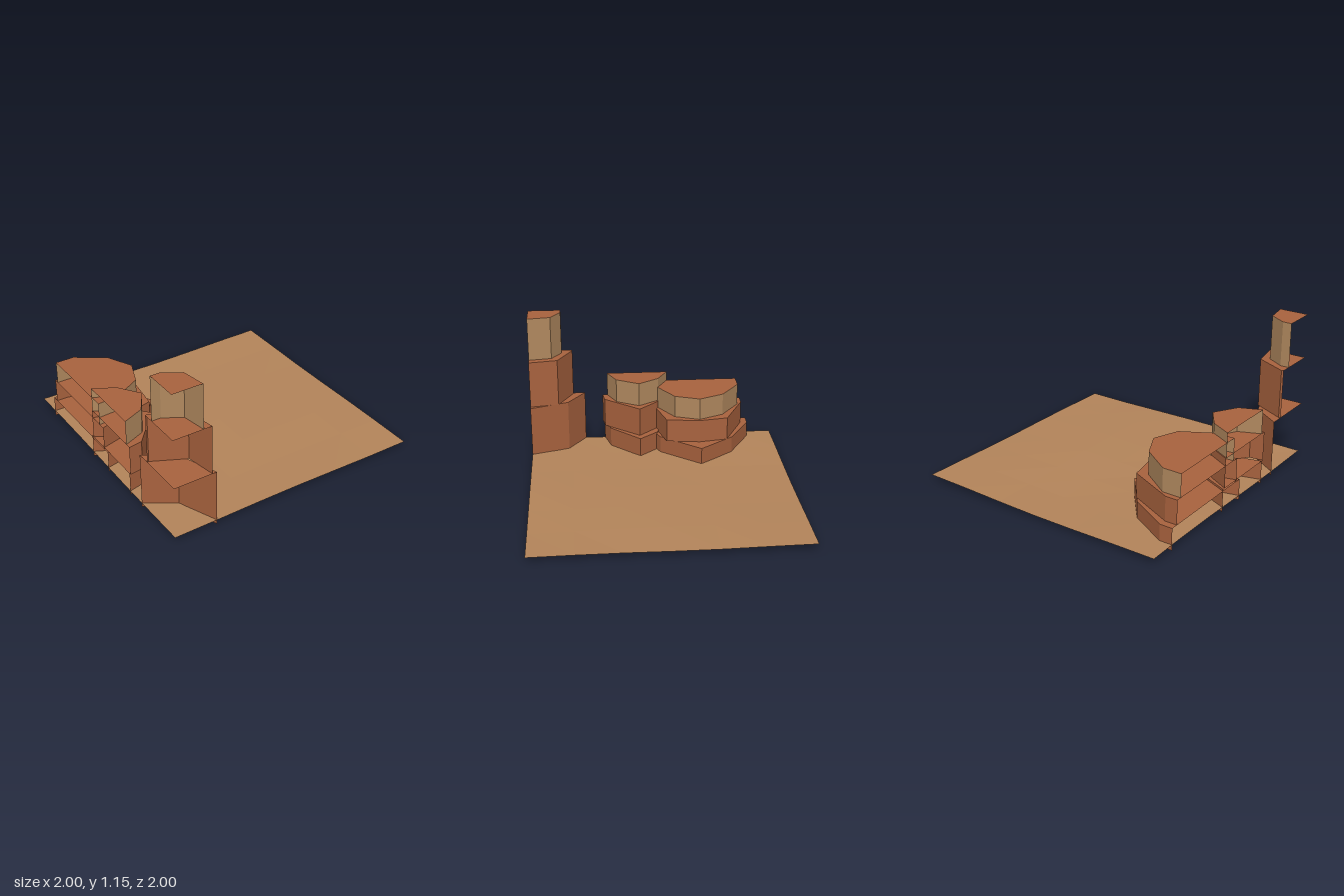
import * as THREE from 'three';

const mat = (name, color) => {
  const m = new THREE.MeshStandardMaterial({ color, side: THREE.DoubleSide, flatShading: true });
  m.name = name;
  return m;
};

// Each tier: top height and its outline, running from the back (-z) end to the front (+z) end.
const mesas = [
  { name: 'backMesa', tiers: [
    [0.165, [[-1, -0.79], [-0.9, -0.79], [-0.6, -0.62], [-0.385, -0.35], [-0.65, -0.04], [-0.87, 0.05], [-1, 0.08]]],
    [0.35, [[-1, -0.735], [-0.905, -0.735], [-0.56, -0.575], [-0.52, -0.35], [-0.555, -0.085], [-0.85, -0.01], [-1, 0.03]]],
    [0.525, [[-1, -0.695], [-0.855, -0.695], [-0.64, -0.545], [-0.545, -0.35], [-0.62, -0.155], [-0.84, -0.03], [-1, -0.02]]],
  ] },
  { name: 'middleMesa', tiers: [
    [0.18, [[-1, -0.15], [-0.71, -0.015], [-0.585, 0.125], [-0.825, 0.355], [-1, 0.4]]],
    [0.41, [[-1, -0.13], [-0.8, -0.02], [-0.655, 0.125], [-0.895, 0.4], [-1, 0.415]]],
    [0.6, [[-1, -0.12], [-0.84, -0.035], [-0.73, 0.125], [-0.835, 0.305], [-1, 0.375]]],
  ] },
  { name: 'frontMesa', corner: [-1, 1], tiers: [
    [0.435, [[-1, 0.56], [-0.785, 0.7], [-0.67, 1]]],
    [0.81, [[-1, 0.66], [-0.985, 0.655], [-0.745, 0.775], [-0.705, 1]]],
    [1.15, [[-1, 0.74], [-0.93, 0.74], [-0.8, 0.82], [-0.77, 1]]],
  ] },
];

// Open cliff band following an outline between two heights
function wallGeometry(path, y0, y1) {
  const pos = [];
  for (let i = 0; i < path.length - 1; i++) {
    const [ax, az] = path[i], [bx, bz] = path[i + 1];
    pos.push(ax, y0, az, ax, y1, az, bx, y0, bz);
    pos.push(bx, y0, bz, ax, y1, az, bx, y1, bz);
  }
  const g = new THREE.BufferGeometry();
  g.setAttribute('position', new THREE.Float32BufferAttribute(pos, 3));
  g.computeVertexNormals();
  return g;
}

// Flat ledge closing a tier
function capGeometry(path, y) {
  const shape = new THREE.Shape(path.map(([x, z]) => new THREE.Vector2(x, -z)));
  return new THREE.ShapeGeometry(shape).rotateX(-Math.PI / 2).translate(0, y, 0);
}

export function createModel() {
  const model = new THREE.Group();
  model.name = 'desertCliffTile';
  const sand = mat('sand', 0xb3845a);
  const redRock = mat('redRock', 0xa8623e);
  const paleRock = mat('paleRock', 0xb0885e);

  const add = (parent, name, geometry, material) => {
    const mesh = new THREE.Mesh(geometry, material);
    mesh.name = name;
    parent.add(mesh);
  };

  // Gently rolling ground sheet
  const ground = new THREE.PlaneGeometry(2, 2, 6, 6).rotateX(-Math.PI / 2);
  const p = ground.attributes.position;
  for (let i = 0; i < p.count; i++) {
    const x = p.getX(i), z = p.getZ(i);
    p.setY(i, 0.035 + 0.006 * Math.sin(3.3 * x + 1.7 * z) + 0.004 * Math.cos(4.1 * z - 2 * x));
  }
  ground.computeVertexNormals();
  add(model, 'ground', ground, sand);

  // Stepped mesas, cut off at the tile border
  for (const { name, corner, tiers } of mesas) {
    const mesa = new THREE.Group();
    mesa.name = name;
    let base = 0;
    tiers.forEach(([top, path], i) => {
      add(mesa, `cliff${i + 1}`, wallGeometry(path, base, top), i === 2 ? paleRock : redRock);
      add(mesa, `ledge${i + 1}`, capGeometry(corner ? [...path, corner] : path, top), redRock);
      base = top;
    });
    model.add(mesa);
  }
  return model;
}
